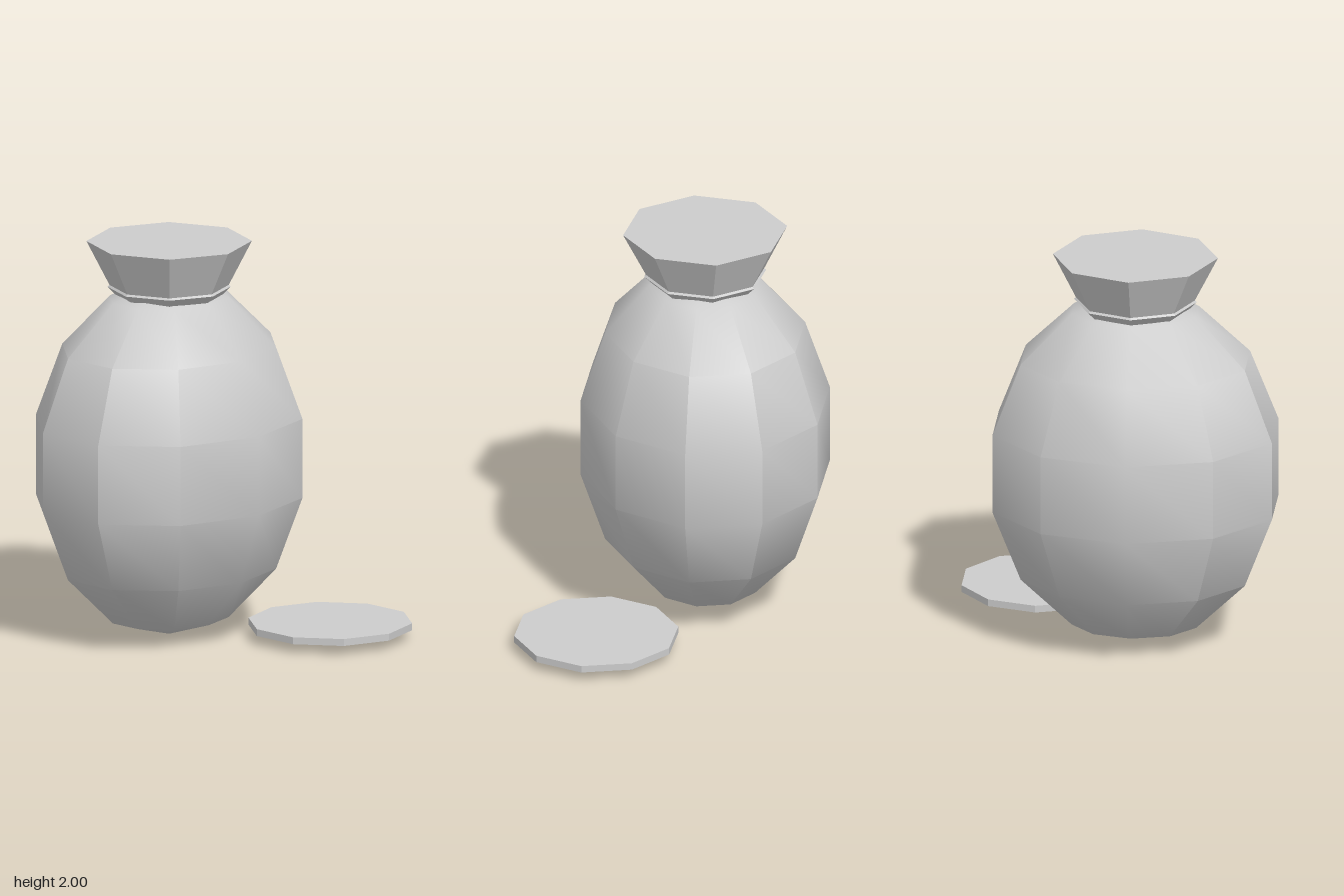
import * as THREE from 'three';
import { toCreasedNormals } from 'three/addons/utils/BufferGeometryUtils.js';

export function createModel() {
  const model = new THREE.Group();
  const grey = new THREE.MeshStandardMaterial({ color: 0xcccccc });
  grey.name = 'light grey';

  const add = (name, geometry, crease, x, y, z) => {
    const mesh = new THREE.Mesh(toCreasedNormals(geometry, crease), grey);
    mesh.name = name;
    mesh.position.set(x, y, z);
    model.add(mesh);
  };
  const cx = -0.105, cz = -0.203; // axis of the sack
  const sharp = 0.1;

  // Plump sack: ten-sided ball, taller than wide and flattened front to back
  const body = new THREE.SphereGeometry(1, 10, 7);
  body.rotateY(Math.PI / 2);
  body.scale(0.749, 0.903, 0.639);
  add('sackBody', body, 0.66, cx, 0.905, cz);

  // Cord tied round the neck
  const cord = new THREE.TorusGeometry(0.265, 0.04, 4, 8);
  cord.rotateX(Math.PI / 2);
  add('neckCord', cord, sharp, cx, 1.767, cz);

  // Flared mouth above the cord
  add('sackMouth', new THREE.CylinderGeometry(0.41, 0.282, 0.25, 8), sharp, cx, 1.875, cz);

  // Loose coin lying in front
  add('coin', new THREE.CylinderGeometry(0.41, 0.41, 0.035, 10), sharp, 0.41, 0.067, 0.41);

  return model;
}
